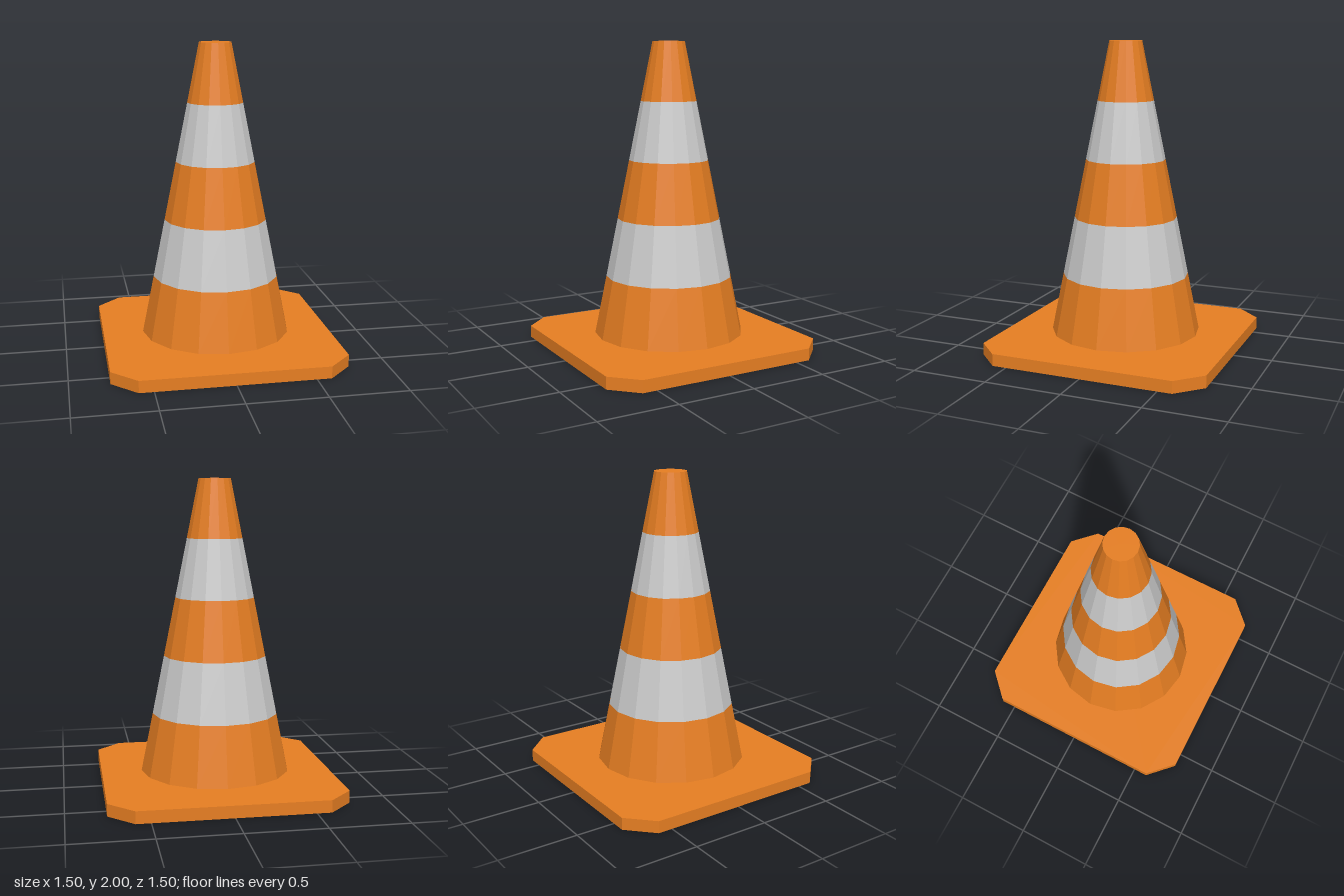
import * as THREE from 'three';

const SIDES = 16;
const orange = new THREE.MeshStandardMaterial({ color: 0xe67e22, flatShading: true });
const grey = new THREE.MeshStandardMaterial({ color: 0xcccccc, flatShading: true });

export function createModel() {
  const model = new THREE.Group();
  const add = (name, geometry, material, y = 0) => {
    const mesh = new THREE.Mesh(geometry, material);
    mesh.name = name;
    mesh.position.y = y;
    model.add(mesh);
    return mesh;
  };

  // Square base plate with cut corners
  const h = 0.75, c = 0.593;
  const outline = new THREE.Shape([
    [c, -h], [h, -c], [h, c], [c, h], [-c, h], [-h, c], [-h, -c], [-c, -h],
  ].map(([x, y]) => new THREE.Vector2(x, y)));
  const plate = new THREE.ExtrudeGeometry(outline, { depth: 0.078, bevelEnabled: false });
  plate.rotateX(-Math.PI / 2);
  add('basePlate', plate, orange);

  // Tapered body: five equal bands in alternating colours, just clear of the plate
  const bottom = 0.095, top = 2, rBottom = 0.49, rTop = 0.105, bands = 5;
  const step = (top - bottom) / bands;
  const radius = (i) => THREE.MathUtils.lerp(rBottom, rTop, i / bands);
  for (let i = 0; i < bands; i++) {
    const band = new THREE.CylinderGeometry(radius(i + 1), radius(i), step, SIDES, 1, true);
    add(i % 2 ? `reflectiveBand${i}` : `coneBand${i}`, band, i % 2 ? grey : orange, bottom + step * (i + 0.5));
  }

  // Flat ends of the cone
  add('coneTop', new THREE.CircleGeometry(rTop, SIDES).rotateX(-Math.PI / 2), orange, top);
  add('coneUnderside', new THREE.CircleGeometry(rBottom, SIDES).rotateX(Math.PI / 2), orange, bottom);

  return model;
}
